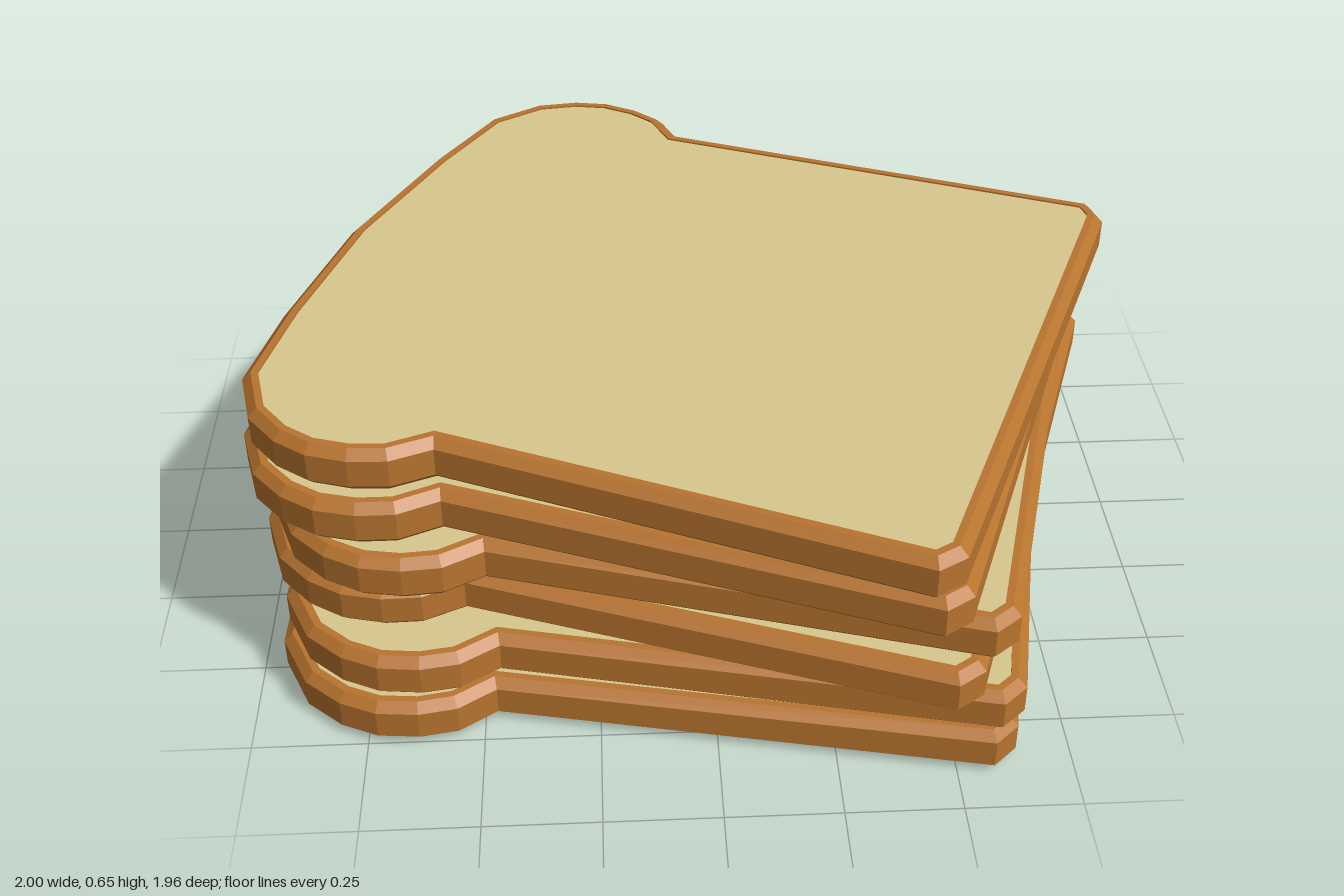
import * as THREE from 'three';

// Half outline of a slice: [along, across], from crown centre round to the base corner
const HALF = [
  [-0.885, 0], [-0.855, 0.38], [-0.815, 0.63], [-0.73, 0.75], [-0.64, 0.803], [-0.555, 0.824],
  [-0.465, 0.815], [-0.385, 0.785], [-0.315, 0.716], [0.757, 0.733], [0.8, 0.675],
];
// Full outline, clockwise seen from above
const OUTLINE = [
  ...HALF.slice(1).reverse(),
  ...HALF.map(([u, v]) => [u, -v]),
];

// Mitred inward offset of the outline
function inset(distance) {
  const n = OUTLINE.length;
  const normal = (a, b) => new THREE.Vector2(a[1] - b[1], b[0] - a[0]).normalize();
  return OUTLINE.map((p, i) => {
    const n1 = normal(OUTLINE[(i + n - 1) % n], p);
    const n2 = normal(p, OUTLINE[(i + 1) % n]);
    const m = n1.clone().add(n2).multiplyScalar(distance / (1 + n1.dot(n2)));
    return new THREE.Vector2(p[0] + m.x, p[1] + m.y);
  });
}

const THICK = 0.104, BEVEL = 0.02, RIM = 0.036, RECESS = 0.004;

// Crust band: [inset, height] cross-section swept round the outline
function crustGeometry() {
  const section = [
    [RIM, RECESS], [RIM, 0], [BEVEL, 0], [0, BEVEL],
    [0, THICK - BEVEL], [BEVEL, THICK], [RIM, THICK], [RIM, THICK - RECESS],
  ];
  const n = OUTLINE.length, positions = [], index = [];
  section.forEach(([d, y], k) => {
    inset(d).forEach((p, i) => {
      positions.push(p.x, y, p.y);
      if (k === section.length - 1) return;
      const j = (i + 1) % n;
      const a = k * n + i, b = k * n + j, c = a + n, e = b + n;
      index.push(a, c, b, b, c, e);
    });
  });
  const g = new THREE.BufferGeometry();
  g.setAttribute('position', new THREE.Float32BufferAttribute(positions, 3));
  g.setIndex(index);
  const flat = g.toNonIndexed();
  flat.computeVertexNormals();
  return flat;
}

// Soft middle of the slice
function crumbGeometry() {
  const g = new THREE.ExtrudeGeometry(new THREE.Shape(inset(RIM)), {
    depth: THICK - 2 * RECESS, bevelEnabled: false,
  });
  g.rotateX(Math.PI / 2);
  g.translate(0, THICK - RECESS, 0);
  return g;
}

// Placement of each slice from the bottom up: [turn in degrees, x, z]
const SLICES = [
  [10.7, -0.03, 0.04], [11.6, -0.008, 0.028], [19.2, 0.001, 0.012],
  [15.5, 0.013, 0.009], [20.6, -0.02, 0.019], [23, -0.005, 0.009],
];

export function createModel() {
  const model = new THREE.Group();
  model.name = 'breadStack';
  const crustMaterial = new THREE.MeshStandardMaterial({ color: 0xb8742f, flatShading: true });
  const crumbMaterial = new THREE.MeshStandardMaterial({ color: 0xd8c88e, flatShading: true });
  const crustShape = crustGeometry(), crumbShape = crumbGeometry();

  SLICES.forEach(([turn, x, z], i) => {
    const slice = new THREE.Group();
    slice.name = `slice${i + 1}`;
    const crust = new THREE.Mesh(crustShape, crustMaterial);
    crust.name = 'crust';
    const crumb = new THREE.Mesh(crumbShape, crumbMaterial);
    crumb.name = 'crumb';
    slice.add(crust, crumb);
    slice.position.set(x, i * 0.109, z);
    slice.rotation.y = -THREE.MathUtils.degToRad(turn);
    model.add(slice);
  });
  return model;
}
